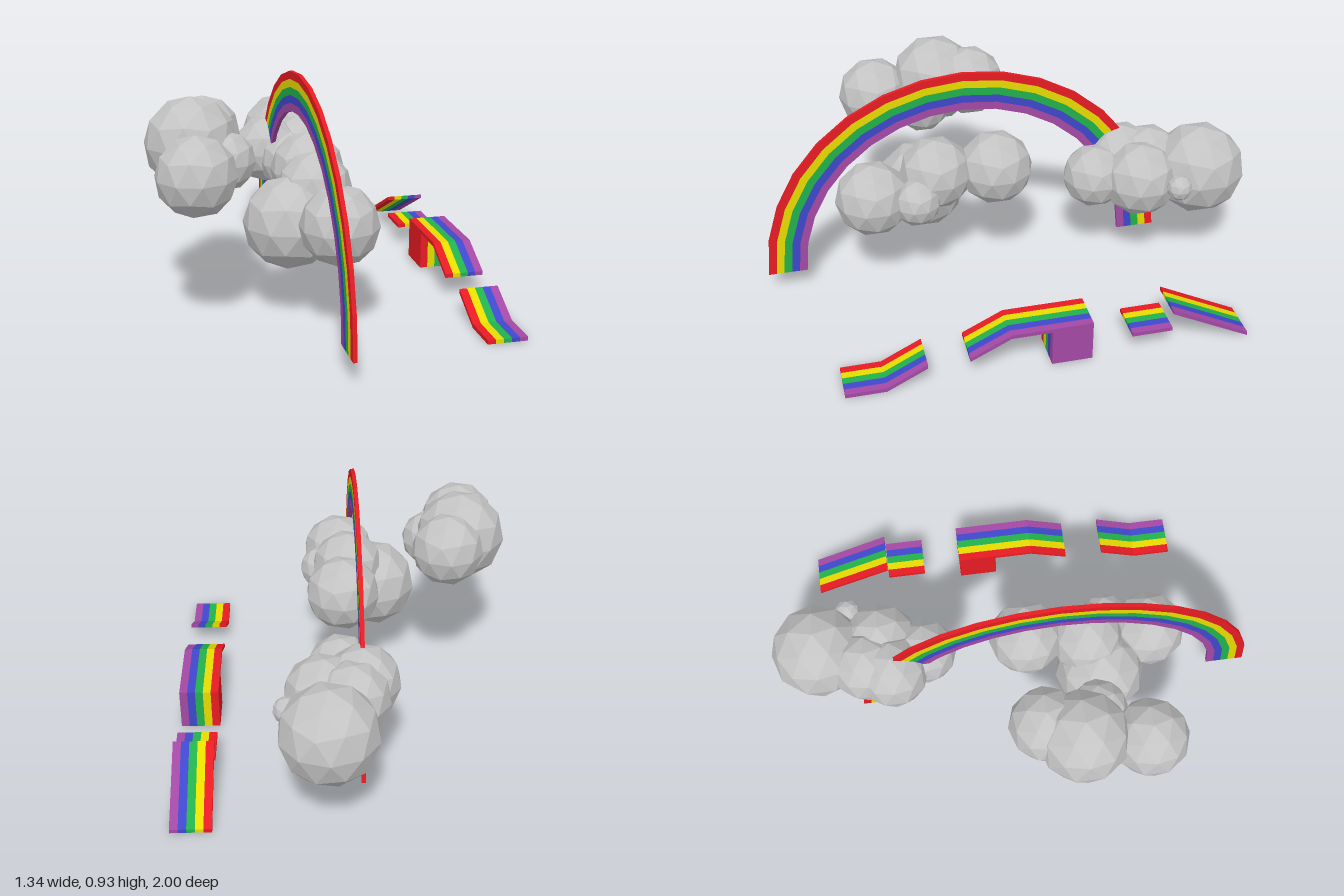
import * as THREE from 'three';

const flat = (name, color) => {
  const m = new THREE.MeshStandardMaterial({ color, flatShading: true });
  m.name = name;
  return m;
};
const cloudGrey = flat('cloud grey', 0xc3c3c3);
// Stripe order: outer to inner on the arch, low x to high x on the path
const stripes = [
  flat('red', 0xed1c24), flat('yellow', 0xfff200), flat('green', 0x22b14c),
  flat('blue', 0x3f48cc), flat('purple', 0xa349a4),
];
const BAND = 0.032;
const THICK = 0.016;

// Extrude a closed [z, y] outline along x, starting at x0
function extrudeAlongX(outline, x0, depth) {
  const shape = new THREE.Shape(outline.map(([z, y]) => new THREE.Vector2(-z, y)));
  const geo = new THREE.ExtrudeGeometry(shape, { depth, bevelEnabled: false });
  return geo.rotateY(Math.PI / 2).translate(x0, 0, 0);
}

// Five concentric half rings
function buildArch() {
  const arch = new THREE.Group();
  arch.name = 'rainbowArch';
  const segments = 16, cz = 0.165, cy = 0.09, outer = 0.835;
  stripes.forEach((mat, i) => {
    const arc = (r) => Array.from({ length: segments + 1 }, (_, k) => {
      const a = (k / segments) * Math.PI;
      return [cz + r * Math.cos(a), cy + r * Math.sin(a)];
    });
    const r = outer - i * BAND;
    const outline = [...arc(r), ...arc(r - BAND).reverse()];
    const mesh = new THREE.Mesh(extrudeAlongX(outline, -0.066, THICK), mat);
    mesh.name = mat.name + 'ArchBand';
    arch.add(mesh);
  });
  return arch;
}

// One striped path piece, side by side bands of the same outline
function buildPathPiece(name, outline) {
  const piece = new THREE.Group();
  piece.name = name;
  stripes.forEach((mat, i) => {
    const mesh = new THREE.Mesh(extrudeAlongX(outline, 0.515 + i * BAND, BAND), mat);
    mesh.name = mat.name + 'PathBand';
    piece.add(mesh);
  });
  return piece;
}

// Thin slab outline following the top edge points
const slab = (top) => [...top, ...top.map(([z, y]) => [z, y - THICK]).reverse()];

// Faceted ball with a vertex at the top
const ballGeo = new THREE.IcosahedronGeometry(1, 1)
  .rotateZ(-Math.atan(2 / (1 + Math.sqrt(5))));

function buildCloud(name, balls) {
  const cloud = new THREE.Group();
  cloud.name = name;
  balls.forEach(([x, y, z, r], i) => {
    const ball = new THREE.Mesh(ballGeo, cloudGrey);
    ball.name = 'cloudPuff' + (i + 1);
    ball.position.set(x, y, z);
    ball.scale.setScalar(r);
    cloud.add(ball);
  });
  return cloud;
}

export function createModel() {
  const model = new THREE.Group();
  model.name = 'rainbowAndClouds';
  model.add(buildArch());

  // Path pieces, front to back
  model.add(
    buildPathPiece('frontRamp', slab([[0.78, 0.018], [0.622, 0.018], [0.463, 0.1]])),
    buildPathPiece('middleRamp', slab([[0.3, 0.1], [0.14, 0.18], [-0.02, 0.18]])),
    buildPathPiece('middleBlock', [[-0.02, 0.18], [-0.182, 0.18], [-0.182, 0.01], [-0.02, 0.01]]),
    buildPathPiece('flatStep', slab([[-0.343, 0.1], [-0.505, 0.1]])),
    buildPathPiece('backRamp', slab([[-0.505, 0.18], [-0.826, 0.016]])),
  );

  // Clouds: x, y, z, radius of each puff
  model.add(
    buildCloud('highCloud', [
      [-0.495, 0.69, 0.2, 0.183],
      [-0.515, 0.633, 0.46, 0.155],
      [-0.43, 0.695, 0.065, 0.147],
      [-0.375, 0.633, 0.28, 0.115],
    ]),
    buildCloud('middleCloud', [
      [-0.14, 0.388, 0.335, 0.183],
      [0, 0.435, 0.555, 0.153],
      [-0.032, 0.5, 0.29, 0.15],
      [-0.003, 0.51, 0.045, 0.152],
      [0.075, 0.437, 0.385, 0.095],
    ]),
    buildCloud('backCloud', [
      [0.075, 0.435, -0.808, 0.192],
      [0.088, 0.425, -0.55, 0.157],
      [-0.06, 0.45, -0.51, 0.148],
      [-0.02, 0.45, -0.615, 0.145],
      [0.02, 0.423, -0.372, 0.132],
      [0.228, 0.443, -0.672, 0.053],
    ]),
  );
  return model;
}
